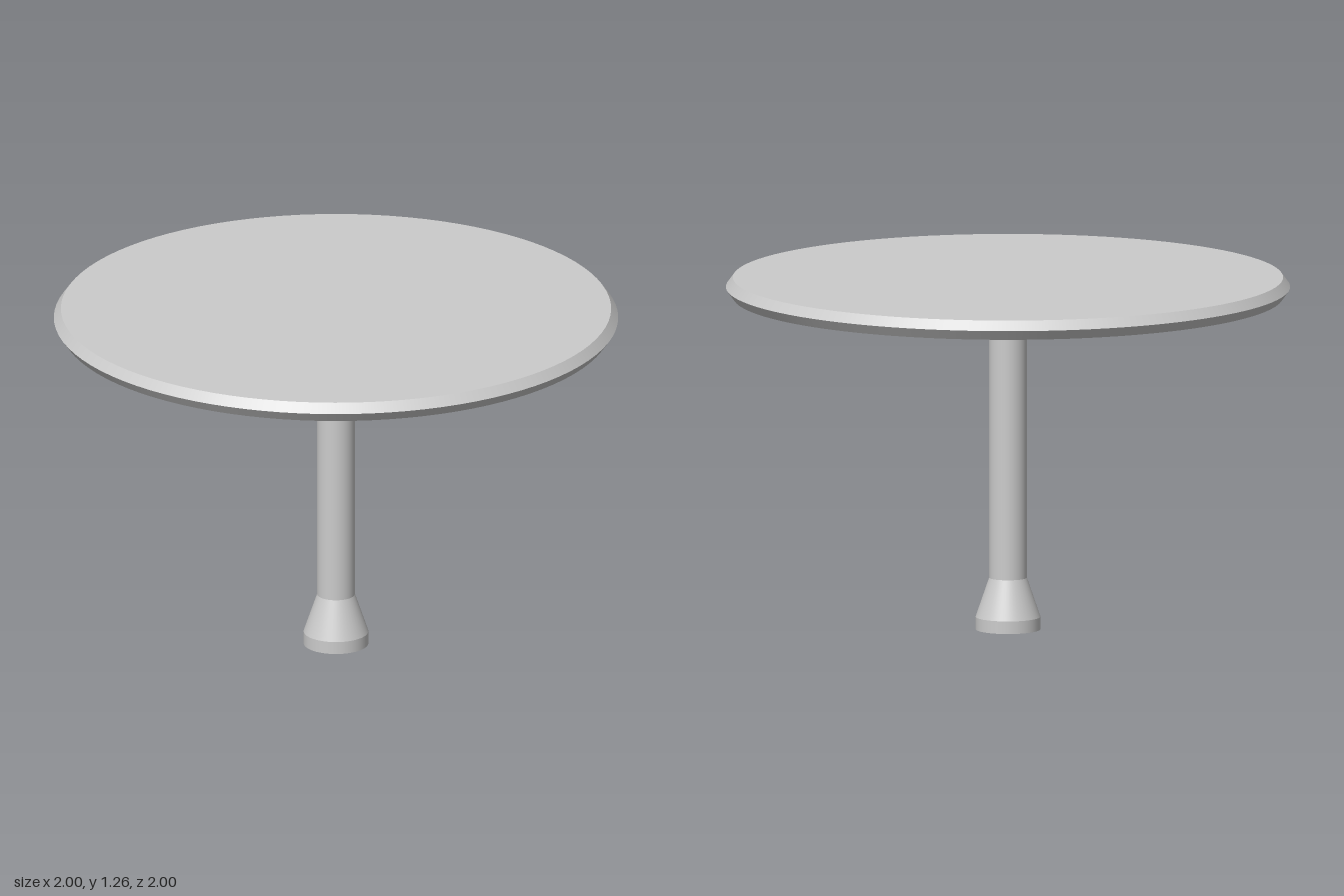
import * as THREE from 'three';
import { mergeGeometries } from 'three/addons/utils/BufferGeometryUtils.js';

const material = new THREE.MeshStandardMaterial({ color: 0xcccccc });

// Round solid from [radius, y] rings listed bottom to top: crisp edges between bands, smooth around
function turned(name, rings, segments, capBottom, capTop) {
  const parts = [];
  for (let i = 0; i < rings.length - 1; i++) {
    const [r0, y0] = rings[i];
    const [r1, y1] = rings[i + 1];
    parts.push(new THREE.CylinderGeometry(r1, r0, y1 - y0, segments, 1, true)
      .translate(0, (y0 + y1) / 2, 0));
  }
  const cap = ([r, y], tilt) =>
    new THREE.CircleGeometry(r, segments, Math.PI / 2).rotateX(tilt).translate(0, y, 0);
  if (capBottom) parts.push(cap(rings[0], Math.PI / 2));
  if (capTop) parts.push(cap(rings[rings.length - 1], -Math.PI / 2));
  const mesh = new THREE.Mesh(mergeGeometries(parts), material);
  mesh.name = name;
  return mesh;
}

export function createModel() {
  const table = new THREE.Group();
  table.name = 'roundPedestalTable';

  // Round top with a bevelled rim
  table.add(turned('tableTop', [[0.975, 1.193], [1, 1.228], [0.975, 1.262]], 96, true, true));

  // Straight column meeting the underside of the top
  table.add(turned('column', [[0.067, 0.185], [0.067, 1.193]], 48, false, false));

  // Flared foot with a short straight plinth
  table.add(turned('foot', [[0.115, 0], [0.115, 0.045], [0.067, 0.185]], 48, true, false));

  return table;
}
